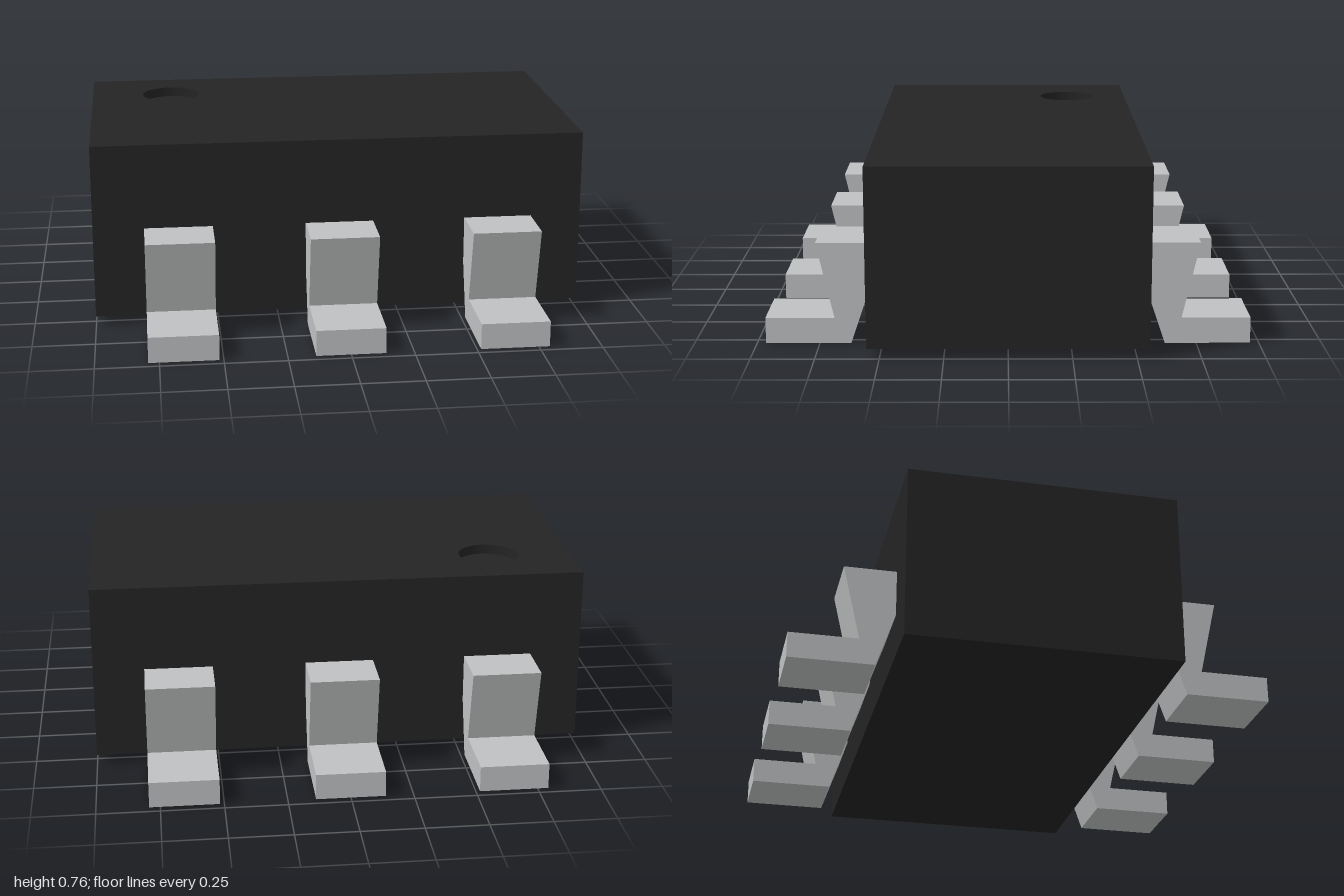
import * as THREE from 'three';

const WIDTH = 2, DEPTH = 1.1, BOTTOM = 0.04, TOP = 0.76;
const DIMPLE = { x: -0.657, z: -0.28, r: 0.123, depth: 0.04 };
const LEG_WIDTH = 0.277, LEG_PITCH = 0.655;

export function createModel() {
  const plastic = new THREE.MeshStandardMaterial({ color: 0x242424 });
  plastic.name = 'black plastic';
  const metal = new THREE.MeshStandardMaterial({ color: 0xbfc1c2 });
  metal.name = 'grey metal';

  const model = new THREE.Group();
  model.name = 'chipPackage';
  const add = (name, geometry, material, parent = model) => {
    const mesh = new THREE.Mesh(geometry, material);
    mesh.name = name;
    parent.add(mesh);
    return mesh;
  };

  // Body: solid block below, thin top layer pierced by the round dimple
  const body = new THREE.Group();
  body.name = 'body';
  model.add(body);
  const floor = TOP - DIMPLE.depth;
  const block = new THREE.BoxGeometry(WIDTH, floor - BOTTOM, DEPTH);
  block.translate(0, (floor + BOTTOM) / 2, 0);
  add('bodyBlock', block, plastic, body);

  const w = WIDTH / 2, d = DEPTH / 2;
  const outline = new THREE.Shape([[-w, -d], [w, -d], [w, d], [-w, d]].map(p => new THREE.Vector2(...p)));
  const hole = new THREE.Path();
  hole.absarc(DIMPLE.x, -DIMPLE.z, DIMPLE.r, 0, Math.PI * 2, true);
  outline.holes.push(hole);
  const layer = new THREE.ExtrudeGeometry(outline, { depth: DIMPLE.depth, bevelEnabled: false, curveSegments: 24 });
  layer.rotateX(-Math.PI / 2).translate(0, floor, 0);
  add('bodyTopWithDimple', layer, plastic, body);

  // Legs: one bent side profile (z, y), extruded across x
  const profile = new THREE.Shape([
    [0.54, 0.25], [0.625, 0], [0.965, 0], [0.965, 0.105],
    [0.69, 0.105], [0.76, 0.412], [0.54, 0.412],
  ].map(p => new THREE.Vector2(...p)));
  const leg = new THREE.ExtrudeGeometry(profile, { depth: LEG_WIDTH, bevelEnabled: false });
  leg.rotateY(-Math.PI / 2).translate(LEG_WIDTH / 2, 0, 0);

  for (const i of [-1, 0, 1]) {
    add('frontLeg', leg, metal).position.x = i * LEG_PITCH;
    const back = add('backLeg', leg, metal);
    back.position.x = i * LEG_PITCH;
    back.rotation.y = Math.PI;
  }
  return model;
}
